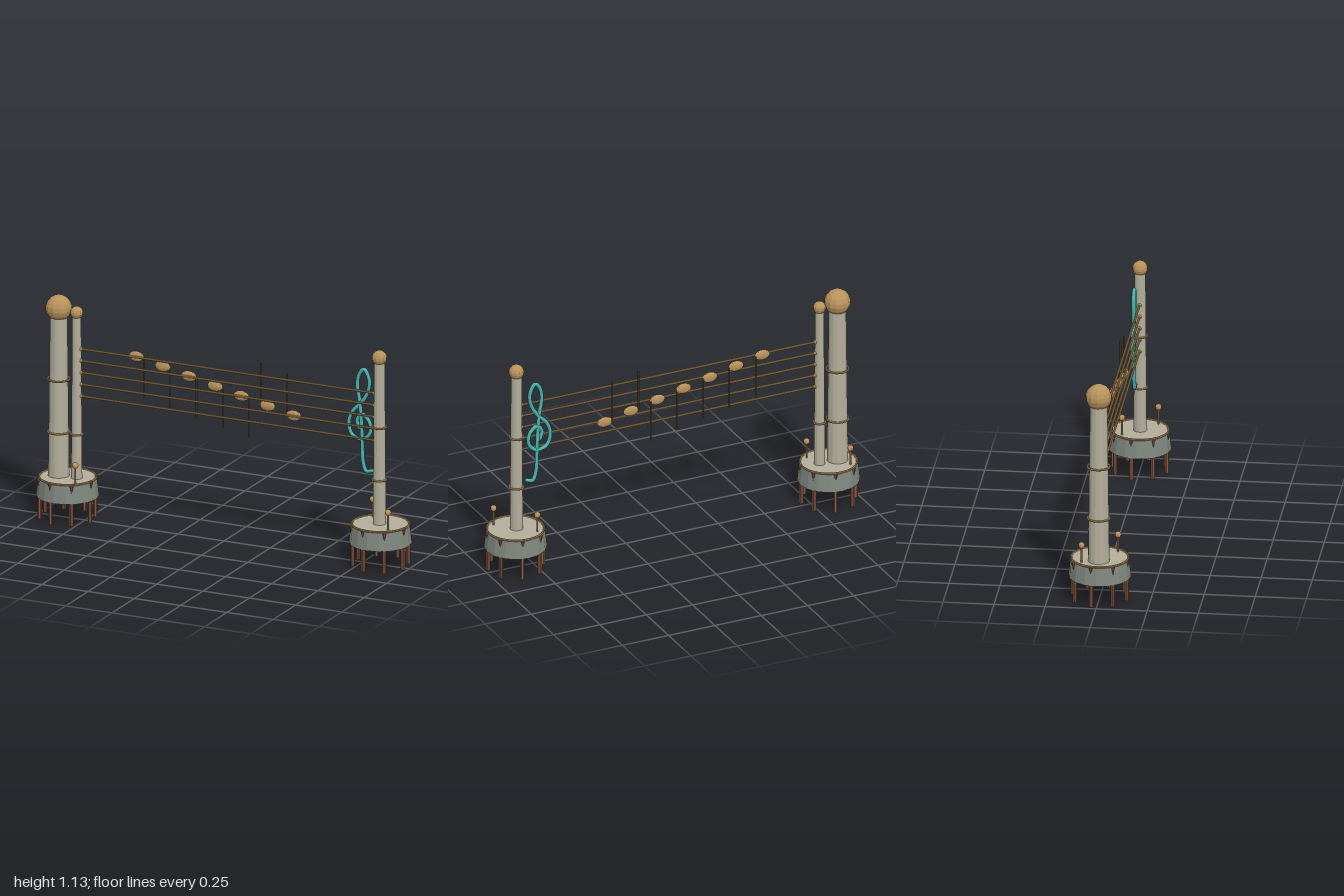
import * as THREE from 'three';

const mat = (name, color, flatShading = true) => {
  const m = new THREE.MeshStandardMaterial({ color, flatShading });
  m.name = name;
  return m;
};

export function createModel() {
  const root = new THREE.Group();
  root.name = 'musicStaffGate';

  const gold = mat('gold', 0xb8935a);
  const stone = mat('paleStone', 0xb3ae9a);
  const concrete = mat('greyConcrete', 0x7f877d);
  const rust = mat('rustBrown', 0x8a5a44);
  const teal = mat('teal', 0x45b5b0, false);
  const dark = mat('darkBronze', 0x66552f);

  const add = (parent, name, geo, material, x = 0, y = 0, z = 0) => {
    const m = new THREE.Mesh(geo, material);
    m.name = name;
    m.position.set(x, y, z);
    parent.add(m);
    return m;
  };
  // vertical cylinder between two heights
  const post = (parent, name, material, rTop, rBottom, y0, y1, x = 0, z = 0, sides = 14) =>
    add(parent, name, new THREE.CylinderGeometry(rTop, rBottom, y1 - y0, sides), material, x, (y0 + y1) / 2, z);
  const ball = (parent, name, r, x, y, z = 0) =>
    add(parent, name, new THREE.SphereGeometry(r, 12, 9), gold, x, y, z);
  const ring = (parent, name, r, tube, x, y) => {
    const m = add(parent, name, new THREE.TorusGeometry(r, tube, 6, 24), gold, x, y);
    m.rotation.x = Math.PI / 2;
    return m;
  };

  // round platforms on piles
  for (const side of [-1, 1]) {
    const base = new THREE.Group();
    base.name = side < 0 ? 'rightPlatform' : 'leftPlatform';
    base.position.x = side * 0.845;
    root.add(base);
    post(base, 'platformDrum', concrete, 0.143, 0.154, 0.115, 0.206, 0, 0, 16);
    post(base, 'platformTop', stone, 0.137, 0.137, 0.2, 0.21, 0, 0, 16);
    ring(base, 'platformRim', 0.14, 0.005, 0, 0.211);
    for (let i = 0; i < 8; i++) {
      const a = 0.2 + (i * Math.PI) / 4;
      const c = Math.cos(a), s = Math.sin(a);
      post(base, 'pile', rust, 0.011, 0.011, 0, 0.117, 0.137 * c, 0.137 * s, 8);
      // rust streak hanging from the rim
      const len = 0.036 + 0.014 * (i % 2);
      const drip = add(base, 'rustStreak', new THREE.ConeGeometry(0.01, len, 6), rust,
        0.143 * c, 0.207 - len / 2, 0.143 * s);
      drip.rotation.x = Math.PI;
    }
    // small lamp posts at opposite corners
    for (const k of [-1, 1]) {
      post(base, 'lampPost', gold, 0.004, 0.004, 0.205, 0.3, 0.08 * k, 0.08 * k, 6);
      ball(base, 'lampBall', 0.016, 0.08 * k, 0.3, 0.08 * k);
    }
  }

  // columns: x, bottom radius, top radius, top, ball radius, ball height, ring heights
  const columns = [
    ['thickColumn', -0.893, 0.053, 0.043, 1.04, 0.065, 1.067, [0.435, 0.704]],
    ['thinColumn', -0.796, 0.028, 0.022, 1.04, 0.032, 1.055, [0.435]],
    ['leftColumn', 0.84, 0.033, 0.027, 1.04, 0.038, 1.057, [0.435, 0.704]],
  ];
  for (const [name, x, rb, rt, top, br, by, rings] of columns) {
    const g = new THREE.Group();
    g.name = name;
    root.add(g);
    post(g, 'shaft', stone, rt, rb, 0.205, top, x);
    ball(g, 'finial', br, x, by);
    for (const y of rings) ring(g, 'band', rb + 0.002, 0.005, x, y);
  }

  // five staff wires with end knobs
  const staff = new THREE.Group();
  staff.name = 'staff';
  root.add(staff);
  for (let i = 0; i < 5; i++) {
    const y = 0.631 + i * 0.0603;
    const wire = add(staff, 'wire', new THREE.CylinderGeometry(0.006, 0.006, 1.61, 8), gold, 0.025, y);
    wire.rotation.z = Math.PI / 2;
    ball(staff, 'wireKnob', 0.01, -0.773, y);
    ball(staff, 'wireKnob', 0.01, 0.812, y);
  }

  // descending notes, the last two with stems upward
  for (let i = 0; i < 7; i++) {
    const note = new THREE.Group();
    note.name = 'note' + (i + 1);
    note.position.set(-0.48 + i * 0.1417, 0.872 - i * 0.0303, -0.014);
    root.add(note);
    const head = ball(note, 'noteHead', 1, 0, 0);
    head.scale.set(0.042, 0.027, 0.014);
    const up = i >= 5;
    post(note, 'noteStem', dark, 0.004, 0.004, up ? 0 : -0.21, up ? 0.21 : 0, up ? -0.038 : 0.038, -0.006, 6);
  }

  // clef bent from one tube
  const path = [
    [0.722, 0.679], [0.711, 0.717], [0.738, 0.749], [0.776, 0.717], [0.782, 0.663], [0.743, 0.622],
    [0.686, 0.636], [0.666, 0.695], [0.684, 0.754], [0.733, 0.807], [0.768, 0.866], [0.776, 0.93],
    [0.748, 0.98], [0.722, 0.952], [0.712, 0.898], [0.725, 0.813], [0.733, 0.722], [0.738, 0.615],
    [0.743, 0.508], [0.761, 0.461], [0.792, 0.467],
  ].map(([x, y]) => new THREE.Vector3(x, y, -0.018));
  const curve = new THREE.CatmullRomCurve3(path);
  add(root, 'clef', new THREE.TubeGeometry(curve, 140, 0.01, 8), teal);
  for (const p of [path[0], path[path.length - 1]])
    add(root, 'clefTip', new THREE.SphereGeometry(0.01, 8, 6), teal, p.x, p.y, p.z);

  return root;
}
